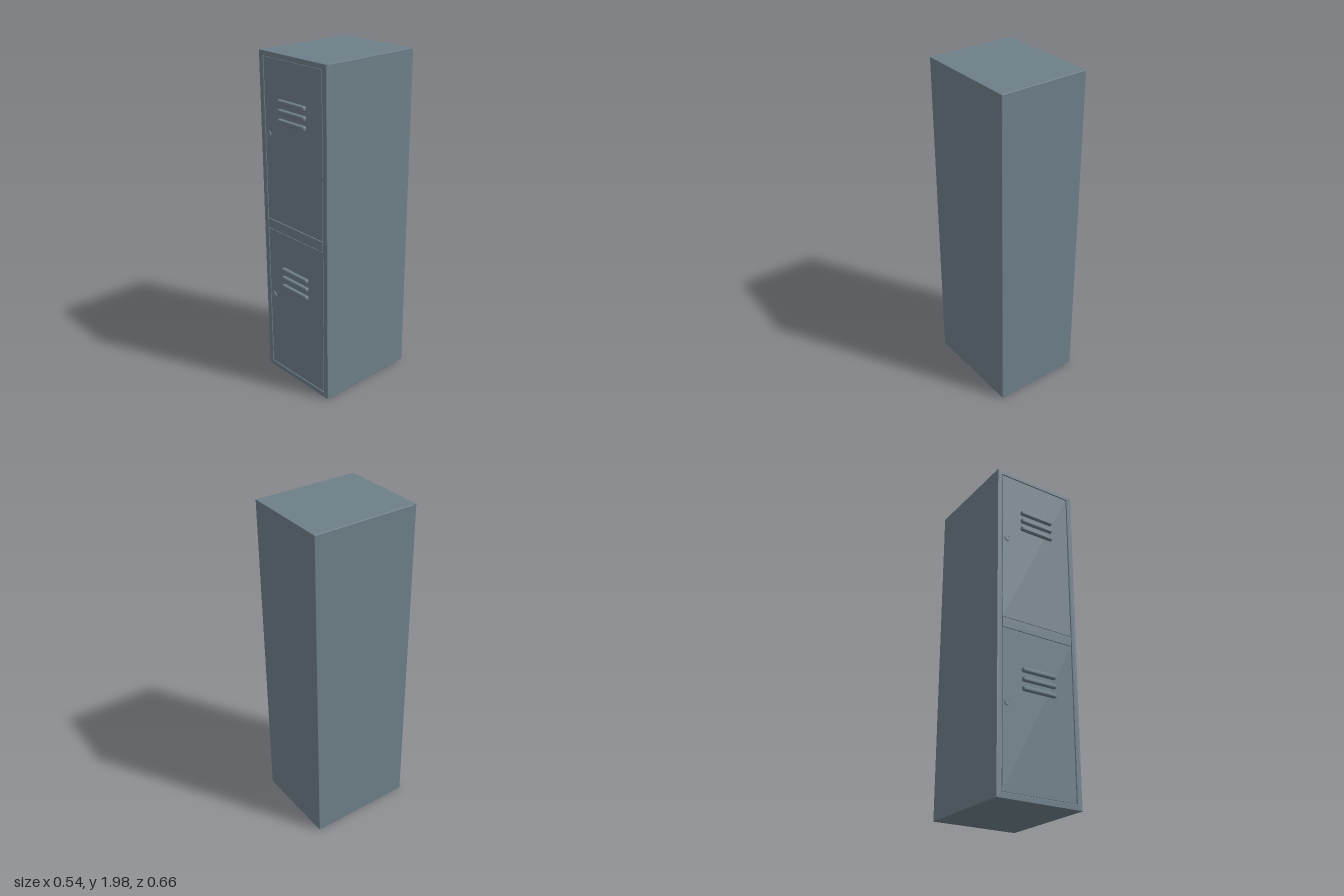
import * as THREE from 'three';
import { RoundedBoxGeometry } from 'three/addons/geometries/RoundedBoxGeometry.js';

const steel = new THREE.MeshStandardMaterial({ color: 0x6e7f89 });
steel.name = 'blue grey steel';

const BOTTOM = 0.018, TOP = 2, FRONT = 0.31;
const OPEN_LOW = 0.05, OPEN_HIGH = 1.973, OPEN_X = 0.237;

function add(parent, name, geometry, x, y, z) {
  const mesh = new THREE.Mesh(geometry, steel);
  mesh.name = name;
  mesh.position.set(x, y, z);
  parent.add(mesh);
  return mesh;
}

function rectangle(PathType, halfWidth, low, high) {
  return new PathType([
    new THREE.Vector2(-halfWidth, low), new THREE.Vector2(halfWidth, low),
    new THREE.Vector2(halfWidth, high), new THREE.Vector2(-halfWidth, high),
  ]);
}

// Flat panel set just behind the face of the frame
function addPanel(parent, name, low, high, front) {
  const depth = 0.012;
  add(parent, name, new THREE.BoxGeometry(2 * OPEN_X - 0.008, high - low, depth),
    0, (low + high) / 2, front - depth / 2);
}

// Door with three raised vents and a round lock
function addDoor(parent, name, low, high, ventTop) {
  const door = new THREE.Group();
  door.name = name;
  addPanel(door, 'doorPanel', low, high, FRONT - 0.002);

  for (let i = 0; i < 3; i++) {
    add(door, 'vent', new RoundedBoxGeometry(0.22, 0.026, 0.036, 3, 0.009),
      0, ventTop - i * 0.054, 0.31);
  }

  const lockY = ventTop - 0.205;
  const rim = new THREE.Shape().absarc(0, 0, 0.019, 0, Math.PI * 2, false);
  rim.holes.push(new THREE.Path().absarc(0, 0, 0.013, 0, Math.PI * 2, true));
  const ring = new THREE.ExtrudeGeometry(rim, { depth: 0.008, bevelEnabled: false, curveSegments: 16 });
  add(door, 'lockRim', ring, -0.203, lockY, 0.307);
  const core = new THREE.CylinderGeometry(0.013, 0.013, 0.006, 24).rotateX(Math.PI / 2);
  add(door, 'lockCore', core, -0.203, lockY, 0.31);
  parent.add(door);
}

export function createModel() {
  const locker = new THREE.Group();
  locker.name = 'locker';

  // Closed cabinet with slightly softened edges
  add(locker, 'cabinet', new RoundedBoxGeometry(0.54, TOP - BOTTOM, 0.633, 2, 0.004),
    0, (TOP + BOTTOM) / 2, -0.0135);

  // Front frame around the door opening
  const outline = rectangle(THREE.Shape, 0.27, BOTTOM, TOP);
  outline.holes.push(rectangle(THREE.Path, OPEN_X, OPEN_LOW, OPEN_HIGH));
  const frame = new THREE.ExtrudeGeometry(outline, {
    depth: 0.016, bevelThickness: 0.002, bevelSize: 0.002, bevelOffset: -0.002, bevelSegments: 1,
  });
  add(locker, 'frontFrame', frame, 0, 0, FRONT - 0.018);

  // Upper door, cross rail and lower door
  addDoor(locker, 'upperDoor', 1.028, OPEN_HIGH - 0.004, 1.744);
  addPanel(locker, 'crossRail', 0.965, 1.024, FRONT);
  addDoor(locker, 'lowerDoor', OPEN_LOW + 0.004, 0.961, 0.737);

  return locker;
}
